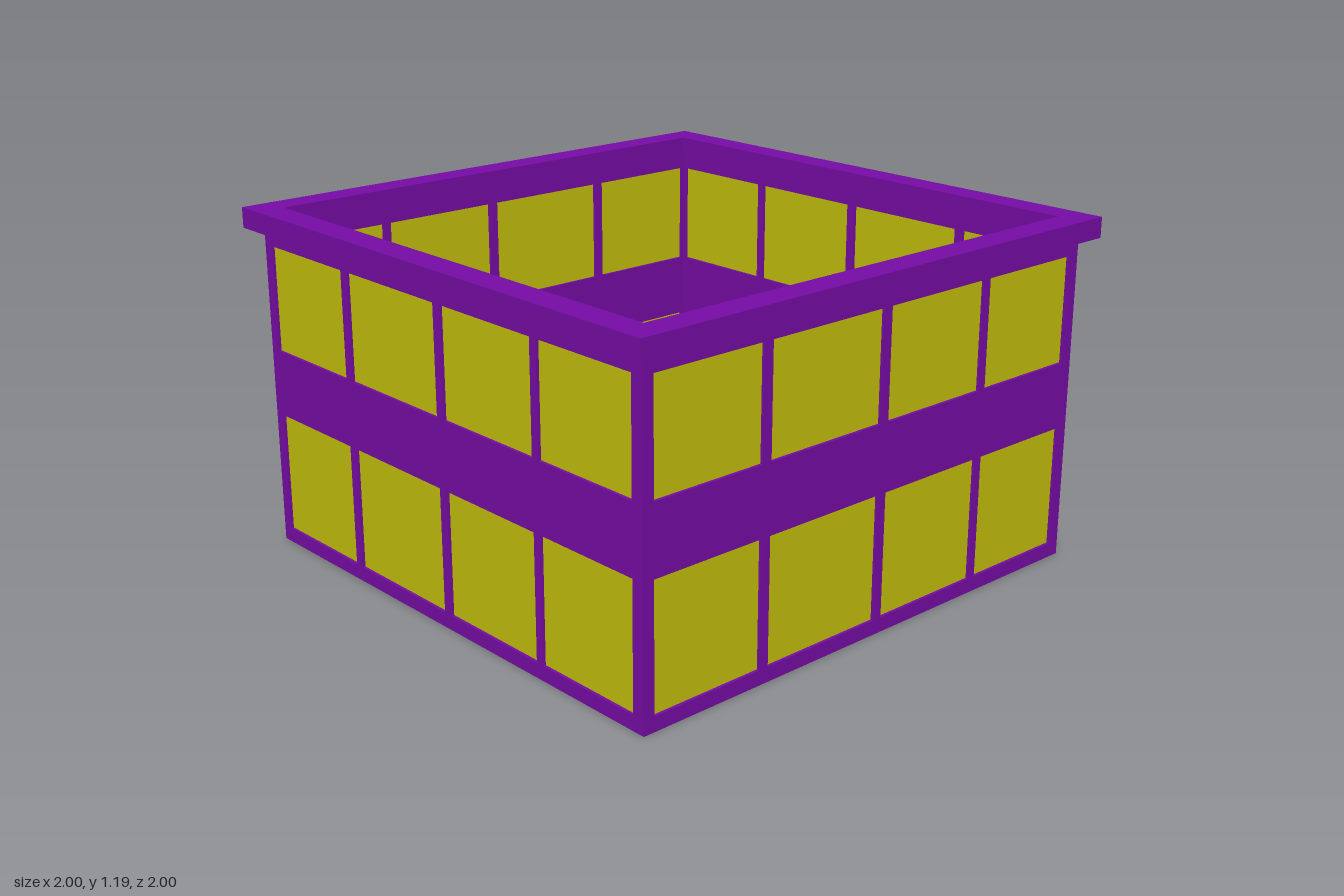
import * as THREE from 'three';

const OUTER = 0.95, THICK = 0.03, WALL_TOP = 1.12, TOP = 1.19;
const COLUMNS = [[-0.91, -0.495], [-0.46, 0.005], [0.04, 0.47], [0.5, 0.905]];
const ROWS = [[0.05, 0.47], [0.7, 1.065]];

// Rectangle outline, usable as a shape or a hole
function rect(Type, x0, y0, x1, y1) {
  const r = new Type();
  r.moveTo(x0, y0);
  r.lineTo(x1, y0);
  r.lineTo(x1, y1);
  r.lineTo(x0, y1);
  r.closePath();
  return r;
}

const extrude = (shape, depth) =>
  new THREE.ExtrudeGeometry(shape, { depth, bevelEnabled: false });

function named(geometry, material, name) {
  const mesh = new THREE.Mesh(geometry, material);
  mesh.name = name;
  return mesh;
}

export function createModel() {
  const model = new THREE.Group();
  model.name = 'building';
  const purple = new THREE.MeshStandardMaterial({ color: 0x780ca8 });
  const yellow = new THREE.MeshStandardMaterial({ color: 0xc8c20e });

  // Wall panel with window openings; stops short at one end to meet its neighbour
  const panel = rect(THREE.Shape, -OUTER, 0, OUTER - THICK, WALL_TOP);
  for (const [x0, x1] of COLUMNS)
    for (const [y0, y1] of ROWS) panel.holes.push(rect(THREE.Path, x0, y0, x1, y1));
  const wallGeometry = extrude(panel, THICK).translate(0, 0, OUTER - THICK);

  // Four identical sides turned around the vertical axis
  ['front', 'left', 'back', 'right'].forEach((label, i) => {
    const side = new THREE.Group();
    side.name = label + 'Side';
    side.rotation.y = i * Math.PI / 2;
    side.add(named(wallGeometry, purple, 'wall'));
    // Panes set back between the faces of the wall
    for (const [x0, x1] of COLUMNS)
      for (const [y0, y1] of ROWS) {
        const pane = named(new THREE.BoxGeometry(x1 - x0, y1 - y0, 0.01), yellow, 'windowPane');
        pane.position.set((x0 + x1) / 2, (y0 + y1) / 2, OUTER - THICK / 2);
        side.add(pane);
      }
    model.add(side);
  });

  // Overhanging square rim on top
  const rimShape = rect(THREE.Shape, -1, -1, 1, 1);
  rimShape.holes.push(rect(THREE.Path, -0.9, -0.9, 0.9, 0.9));
  const rim = named(extrude(rimShape, TOP - WALL_TOP), purple, 'roofRim');
  rim.rotation.x = -Math.PI / 2;
  rim.position.y = WALL_TOP;
  model.add(rim);

  return model;
}
